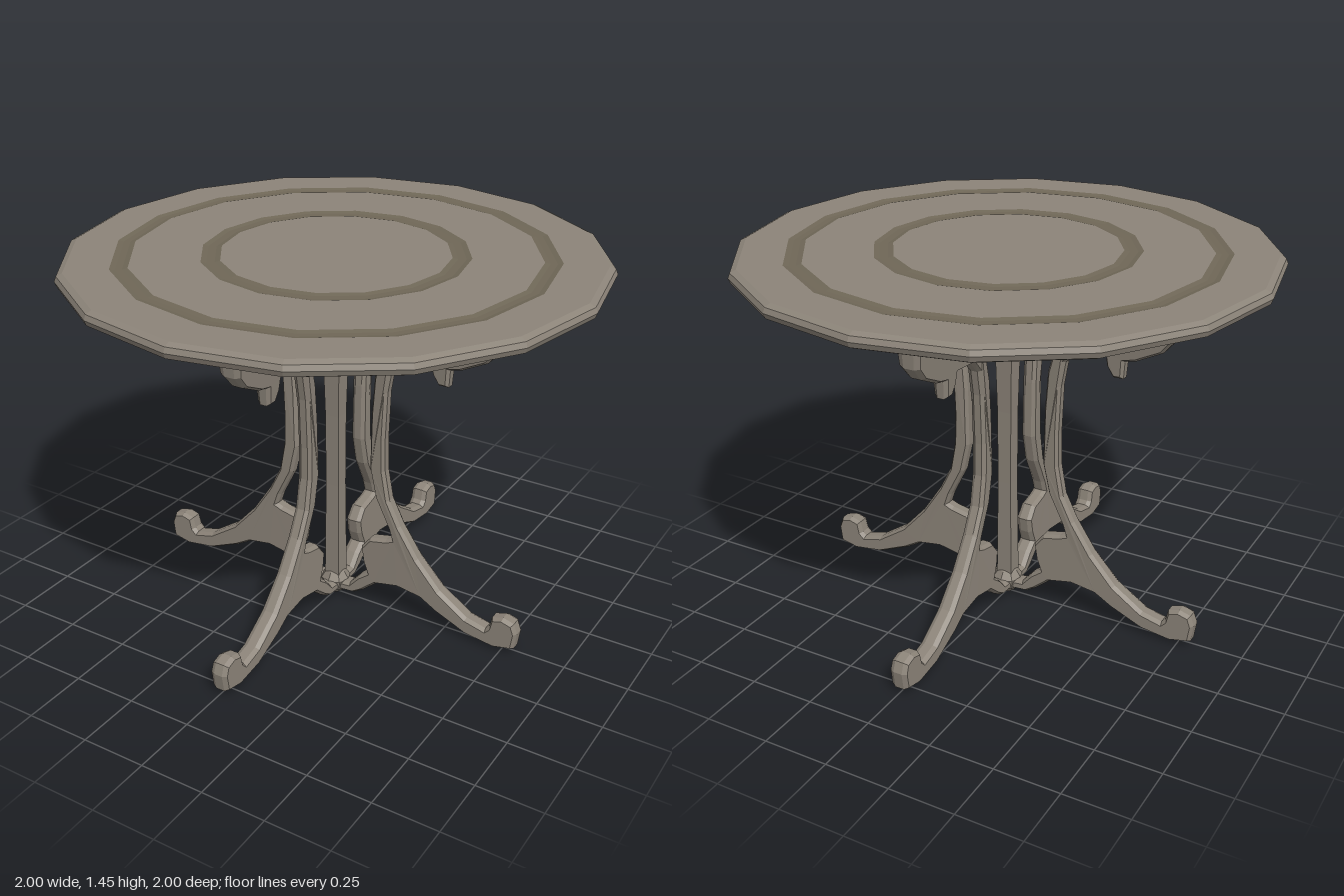
import * as THREE from 'three';

const wood = new THREE.MeshStandardMaterial({ color: 0x8c8479, flatShading: true, side: THREE.DoubleSide });
const darkWood = new THREE.MeshStandardMaterial({ color: 0x6f6757, flatShading: true, side: THREE.DoubleSide });

function addMesh(parent, name, geometry, material = wood) {
  const mesh = new THREE.Mesh(geometry, material);
  mesh.name = name;
  parent.add(mesh);
  return mesh;
}

// Linear interpolation through [y, value] stops
function ramp(stops, y) {
  for (let i = 1; i < stops.length; i++) {
    const [y0, a] = stops[i - 1], [y1, b] = stops[i];
    if (y <= y1) return THREE.MathUtils.lerp(a, b, THREE.MathUtils.clamp((y - y0) / (y1 - y0), 0, 1));
  }
  return stops[stops.length - 1][1];
}

function lathe(points, sides) {
  return new THREE.LatheGeometry(points.map(([r, y]) => new THREE.Vector2(r, y)), sides);
}

// Side outline of one leg: foot scroll, knee, stem and top bracket
const legOutline = [
  [0.02, 0.03], [0.1, 0.035], [0.14, 0.06], [0.2, 0.11], [0.3, 0.13], [0.4, 0.115], [0.47, 0.075],
  [0.6, 0.02], [0.72, 0.003], [0.8, 0.02], [0.81, 0.09], [0.795, 0.13], [0.75, 0.143], [0.705, 0.13],
  [0.695, 0.085], [0.68, 0.07], [0.6, 0.09], [0.48, 0.17], [0.38, 0.28], [0.3, 0.4], [0.25, 0.5],
  [0.228, 0.62], [0.225, 0.75], [0.233, 0.95], [0.25, 1.05], [0.3, 1.1], [0.41, 1.11], [0.415, 1.07],
  [0.44, 1.03], [0.48, 1.03], [0.485, 1.1], [0.53, 1.11], [0.63, 1.16], [0.672, 1.21], [0.685, 1.39],
  [0.38, 1.39], [0.4, 1.35], [0.36, 1.31], [0.36, 1.24], [0.39, 1.2], [0.35, 1.165], [0.3, 1.15],
  [0.24, 1.13], [0.2, 1.08], [0.178, 1.0], [0.167, 0.85], [0.163, 0.62], [0.19, 0.5], [0.25, 0.38],
  [0.265, 0.335], [0.24, 0.325], [0.17, 0.31], [0.13, 0.26], [0.14, 0.2], [0.16, 0.15], [0.12, 0.12],
  [0.08, 0.075], [0.02, 0.07],
];
const legHalfWidth = [[0, 0.036], [0.15, 0.034], [0.35, 0.03], [1.05, 0.027], [1.2, 0.04], [1.39, 0.055]];

function legGeometry() {
  const shape = new THREE.Shape(legOutline.map(([x, y]) => new THREE.Vector2(x, y)));
  const geo = new THREE.ExtrudeGeometry(shape, {
    depth: 1, bevelEnabled: true, bevelThickness: 0.5, bevelSize: 0.01, bevelOffset: -0.01, bevelSegments: 1,
  });
  // Vary the thickness with height
  geo.translate(0, 0, -0.5);
  const p = geo.attributes.position;
  for (let i = 0; i < p.count; i++) p.setZ(i, p.getZ(i) * ramp(legHalfWidth, p.getY(i)));
  geo.computeVertexNormals();
  return geo;
}

export function createModel() {
  const model = new THREE.Group();
  model.name = 'pedestalTable';

  // Sixteen-sided table top with two darker shallow rings
  const top = new THREE.Group();
  top.name = 'tableTop';
  model.add(top);
  const T = 1.447, D = 1.443;
  addMesh(top, 'topRim', lathe([[0, 1.388], [0.97, 1.388], [0.992, 1.398], [1, 1.418], [0.992, 1.437], [0.97, T], [0.81, T]], 16));
  addMesh(top, 'outerRing', lathe([[0.81, T], [0.79, D], [0.765, D], [0.745, T]], 16), darkWood);
  addMesh(top, 'middleBand', lathe([[0.745, T], [0.49, T]], 16));
  addMesh(top, 'innerRing', lathe([[0.49, T], [0.47, D], [0.44, D], [0.42, T]], 16), darkWood);
  addMesh(top, 'centreDisc', lathe([[0.42, T], [0, T]], 16));

  // Square central column, flared at the top, faces along the axes
  const s = Math.SQRT2;
  const column = addMesh(model, 'column', lathe([
    [0, 0.03], [0.032 * s, 0.04], [0.028 * s, 0.5], [0.029 * s, 0.8], [0.036 * s, 1.1],
    [0.045 * s, 1.3], [0.056 * s, 1.37], [0.058 * s, 1.39],
  ], 4));
  column.rotation.y = Math.PI / 4;

  // Small hub joining the legs
  addMesh(model, 'hub', lathe([[0, 0], [0.025, 0.005], [0.055, 0.035], [0.06, 0.07], [0.04, 0.1], [0, 0.12]], 8));

  // Four identical legs
  const leg = legGeometry();
  for (let i = 0; i < 4; i++) {
    addMesh(model, 'leg' + (i + 1), leg).rotation.y = i * Math.PI / 2;
  }
  return model;
}
